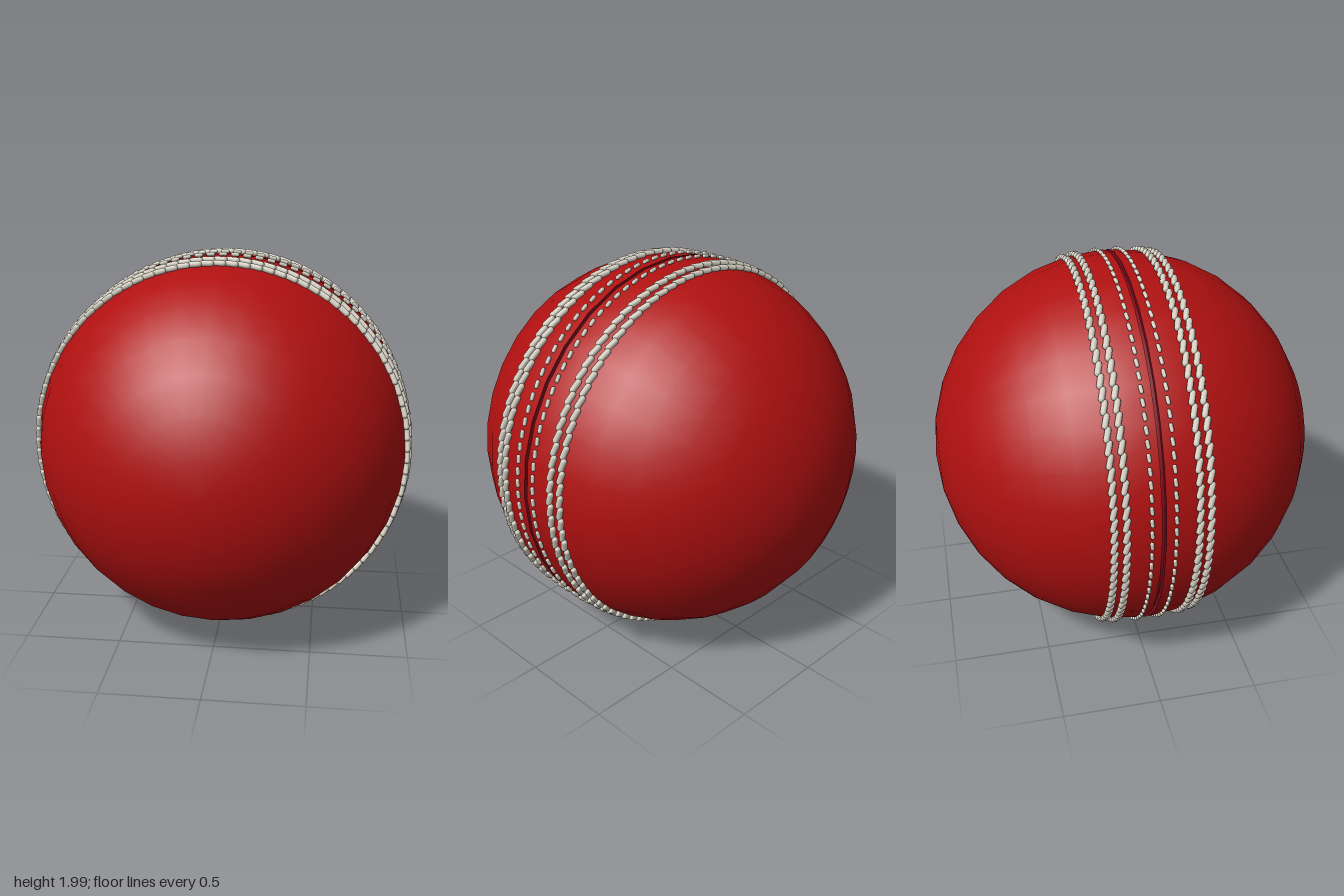
import * as THREE from 'three';
import { mergeGeometries } from 'three/addons/utils/BufferGeometryUtils.js';

const RADIUS = 0.982, GAP = 0.01, FLOOR = 0.955, SEGMENTS = 32;

// A ring of small thread lozenges running round the ball at depth z
function stitchRing(z, ringRadius, threadRadius, length, tilt, count) {
  const stitches = [];
  for (let i = 0; i < count; i++) {
    const stitch = new THREE.CapsuleGeometry(threadRadius, length, 3, 8);
    stitch.rotateX(tilt);
    stitch.translate(ringRadius, 0, z);
    stitch.rotateZ((i / count) * Math.PI * 2);
    stitches.push(stitch);
  }
  return mergeGeometries(stitches);
}

export function createModel() {
  const leather = new THREE.MeshStandardMaterial({ color: 0xb01010 });
  leather.name = 'red leather';
  const groove = new THREE.MeshStandardMaterial({ color: 0x7d0a1c });
  groove.name = 'dark red groove';
  const thread = new THREE.MeshStandardMaterial({ color: 0xd6d1c4 });
  thread.name = 'off-white thread';

  const model = new THREE.Group();
  model.name = 'stitchedBall';
  const ball = new THREE.Group();
  ball.name = 'ball';
  ball.position.y = 0.996;
  model.add(ball);

  const add = (name, geometry, material) => {
    const mesh = new THREE.Mesh(geometry, material);
    mesh.name = name;
    ball.add(mesh);
  };

  // Two leather halves, with their poles at the front and back
  for (const [side, s] of [['front', 1], ['back', -1]]) {
    const half = new THREE.SphereGeometry(RADIUS, SEGMENTS, 8, 0, Math.PI * 2, 0, Math.acos(GAP / RADIUS));
    half.rotateX(s * Math.PI / 2);
    add(side + 'Half', half, leather);

    // Wall of the seam groove
    const wall = new THREE.RingGeometry(FLOOR - 0.01, RADIUS, SEGMENTS);
    if (s > 0) wall.rotateY(Math.PI);
    wall.translate(0, 0, s * GAP);
    add(side + 'GrooveWall', wall, groove);

    // Thin inner row and two thick outer rows of stitching
    add(side + 'InnerStitches', stitchRing(s * 0.057, 0.984, 0.010, 0.024, 0.12, 100), thread);
    add(side + 'MiddleStitches', stitchRing(s * 0.172, 0.972, 0.015, 0.045, -0.28, 100), thread);
    add(side + 'OuterStitches', stitchRing(s * 0.228, 0.960, 0.015, 0.045, -0.28, 100), thread);
  }

  // Floor of the seam groove
  const floor = new THREE.CylinderGeometry(FLOOR, FLOOR, GAP * 2, SEGMENTS, 1, true);
  floor.rotateX(Math.PI / 2);
  add('grooveFloor', floor, groove);

  return model;
}
